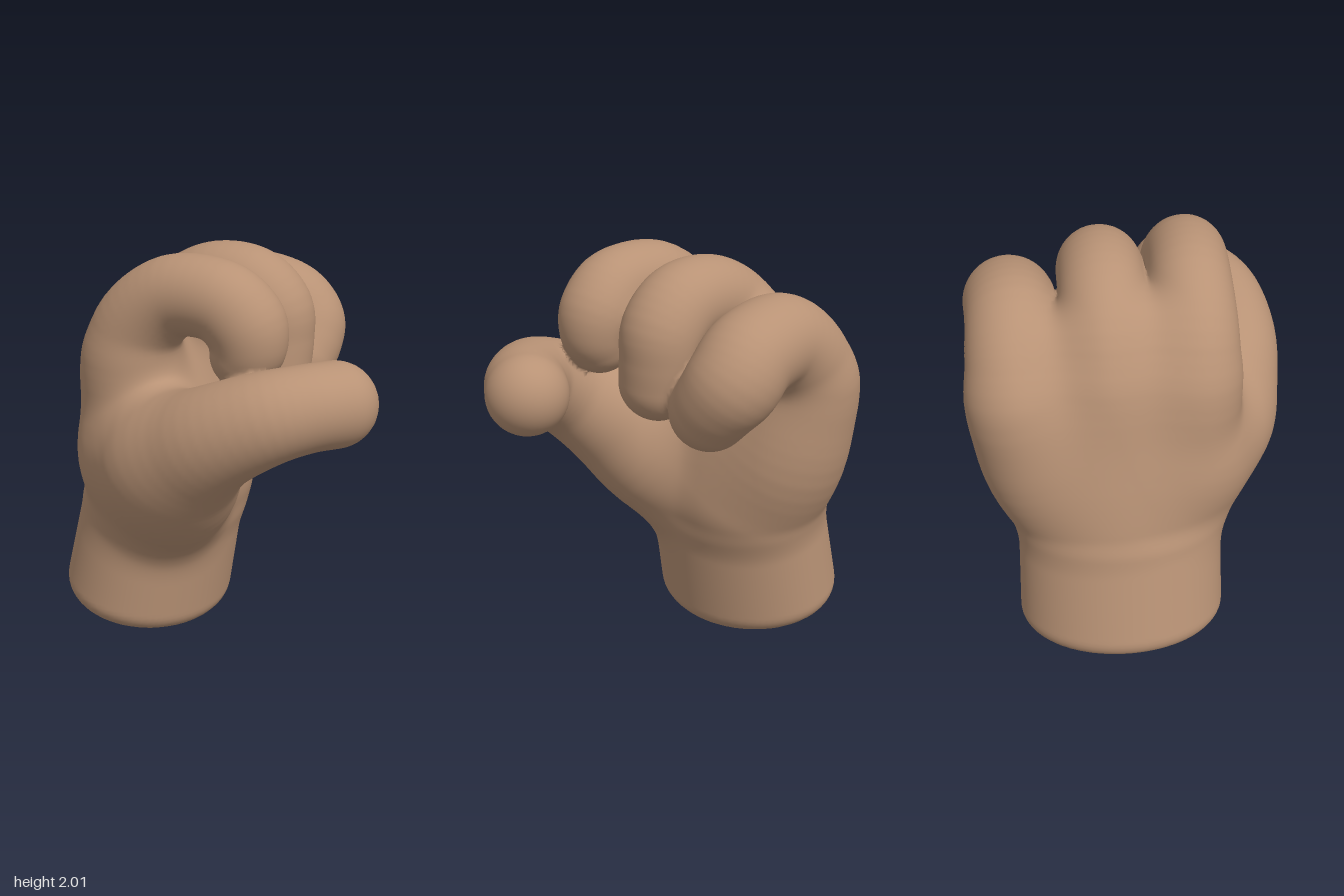
import * as THREE from 'three';

// Each limb is one or more chains of joints: x, y, z, radius
const LIMBS = {
  // The thumb, and the web of flesh that joins it to the index side of the palm
  thumb: [
    [[-0.3, 0.68, 0.12, 0.3], [-0.15, 0.86, 0.28, 0.33], [-0.02, 1.045, 0.42, 0.31],
      [0.2, 1.215, 0.53, 0.25], [0.44, 1.34, 0.52, 0.215], [0.6, 1.385, 0.42, 0.2], [0.7, 1.385, 0.29, 0.2]],
    [[-0.32, 0.98, 0.26, 0.29], [-0.14, 1.03, 0.39, 0.27]],
  ],
  indexFinger: [[[-0.36, 1.15, 0.2, 0.25], [-0.375, 1.42, 0.25, 0.24], [-0.31, 1.64, 0.27, 0.215],
    [-0.12, 1.795, 0.28, 0.195], [0.12, 1.8, 0.29, 0.192], [0.24, 1.71, 0.28, 0.195], [0.27, 1.62, 0.28, 0.18],
    [0.25, 1.56, 0.28, 0.165]]],
  middleFinger: [[[-0.37, 1.15, -0.12, 0.25], [-0.375, 1.42, -0.12, 0.24], [-0.3, 1.64, -0.12, 0.22],
    [-0.12, 1.775, -0.12, 0.205], [0.08, 1.78, -0.12, 0.203], [0.2, 1.68, -0.12, 0.203], [0.22, 1.55, -0.115, 0.195],
    [0.22, 1.43, -0.1, 0.19]]],
  littleFinger: [[[-0.36, 1.12, -0.45, 0.26], [-0.37, 1.36, -0.52, 0.245], [-0.29, 1.53, -0.53, 0.235],
    [-0.13, 1.645, -0.535, 0.223], [0.08, 1.62, -0.55, 0.22], [0.18, 1.53, -0.55, 0.22], [0.21, 1.45, -0.5, 0.205],
    [0.21, 1.365, -0.43, 0.193]]],
  // The palm is three broad bones fanning out from the wrist
  palm: [
    [[-0.34, 0.75, 0.05, 0.33], [-0.34, 1.05, 0.18, 0.31], [-0.36, 1.3, 0.23, 0.26], [-0.37, 1.45, 0.25, 0.23]],
    [[-0.375, 0.74, -0.08, 0.345], [-0.365, 1.0, -0.1, 0.33], [-0.37, 1.25, -0.12, 0.28], [-0.37, 1.45, -0.12, 0.23]],
    [[-0.34, 0.74, -0.24, 0.345], [-0.345, 1.0, -0.39, 0.325], [-0.36, 1.25, -0.48, 0.275], [-0.37, 1.38, -0.52, 0.24]],
  ],
};

// Smooth union of two distances, with a fillet of width k
function blend(a, b, k) {
  const h = Math.max(0, 1 - Math.abs(a - b) / k);
  return Math.min(a, b) - h * h * k / 4;
}

// Distance to a ball of varying radius swept along a curve through the joints
function tube(joints) {
  const spline = points => new THREE.CatmullRomCurve3(points, false, 'catmullrom');
  const path = spline(joints.map(j => new THREE.Vector3(j[0], j[1], j[2])));
  const radius = spline(joints.map(j => new THREE.Vector3(j[3], 0, 0)));
  const steps = (joints.length - 1) * 5, nodes = [];
  for (let i = 0; i <= steps; i++) nodes.push([...path.getPoint(i / steps), radius.getPoint(i / steps).x]);
  const segments = nodes.slice(1).map((b, i) => {
    const a = nodes[i], d = b.map((v, n) => v - a[n]);
    const len2 = d[0] * d[0] + d[1] * d[1] + d[2] * d[2];
    const slope = THREE.MathUtils.clamp(d[3] / Math.sqrt(len2), -0.9, 0.9);
    return { a, d, len2, lean: slope / Math.sqrt((1 - slope * slope) * len2) };
  });
  return (x, y, z) => {
    let best = Infinity;
    for (const { a, d, len2, lean } of segments) {
      const px = x - a[0], py = y - a[1], pz = z - a[2];
      const along = (px * d[0] + py * d[1] + pz * d[2]) / len2;
      const away = Math.sqrt(Math.max(0, px * px + py * py + pz * pz - along * along * len2));
      const t = Math.min(1, Math.max(0, along + away * lean));
      const ex = px - t * d[0], ey = py - t * d[1], ez = pz - t * d[2];
      best = Math.min(best, Math.sqrt(ex * ex + ey * ey + ez * ez) - a[3] - t * d[3]);
    }
    return best;
  };
}

// Distance to the wrist: a tilted oval cylinder, slightly flared, with a rounded rim
function wrist(x, y, z) {
  const px = x + 0.495, py = y - 0.068, pz = z + 0.07;
  const up = 0.2 * px + 0.98 * py, side = 0.98 * px - 0.2 * py;
  const a = 0.418 - 0.045 * up, b = 0.51 - 0.03 * up, height = 0.66, rim = 0.1;
  const q = Math.hypot(side / a, pz / b);
  const radial = q < 0.01 ? -a : (q - 1) * q / Math.hypot(side / (a * a), pz / (b * b));
  const dx = radial + rim, dy = Math.abs(up - height / 2) - height / 2 + rim;
  return Math.min(Math.max(dx, dy), 0) + Math.hypot(Math.max(dx, 0), Math.max(dy, 0)) - rim;
}

const parts = { wrist };
for (const [name, chains] of Object.entries(LIMBS)) {
  const tubes = chains.map(tube);
  parts[name] = (x, y, z) => tubes.map(t => t(x, y, z)).reduce((a, b) => blend(a, b, 0.18));
}

// Whole hand: soft fillets at the palm, finger creases that fade out over the knuckles
function hand(x, y, z) {
  const base = blend(parts.palm(x, y, z), wrist(x, y, z), 0.06);
  const crease = 0.02 + 0.2 * THREE.MathUtils.smoothstep(-x, 0.08, 0.42);
  const fingers = blend(blend(parts.indexFinger(x, y, z), parts.middleFinger(x, y, z), crease),
    parts.littleFinger(x, y, z), crease);
  return blend(blend(base, fingers, 0.06), blend(base, parts.thumb(x, y, z), 0.14), 0.02);
}

// Skin the distance field on a regular grid, with one list of faces per part
function skin() {
  const step = 0.022, min = [-0.99, -0.07, -0.88], size = [91, 99, 81];
  const stride = [1, size[0], size[0] * size[1]];
  const values = new Float32Array(size[0] * size[1] * size[2]);
  const eachNode = (start, trim, visit) => {
    for (let k = start; k < size[2] - trim; k++)
      for (let j = start; j < size[1] - trim; j++)
        for (let i = start; i < size[0] - trim; i++) visit([i, j, k], i + j * stride[1] + k * stride[2]);
  };
  eachNode(0, 0, (c, n) => { values[n] = hand(...c.map((v, a) => min[a] + v * step)); });

  // One vertex per crossed cell, at the mean of its edge crossings
  const positions = [], normals = [], vertexOf = new Int32Array(values.length).fill(-1);
  eachNode(0, 1, (c, n) => {
    const sum = [0, 0, 0];
    let hits = 0;
    for (let corner = 0; corner < 8; corner++) {
      const bits = [corner & 1, (corner >> 1) & 1, corner >> 2];
      const from = n + bits[0] + bits[1] * stride[1] + bits[2] * stride[2];
      for (let a = 0; a < 3; a++) {
        if (bits[a]) continue;
        const v0 = values[from], v1 = values[from + stride[a]];
        if ((v0 < 0) === (v1 < 0)) continue;
        for (let b = 0; b < 3; b++) sum[b] += bits[b] + (a === b ? v0 / (v0 - v1) : 0);
        hits++;
      }
    }
    if (!hits) return;
    const [x, y, z] = sum.map((s, a) => min[a] + (c[a] + s / hits) * step);
    const e = 0.018;
    const normal = new THREE.Vector3(hand(x + e, y, z) - hand(x - e, y, z),
      hand(x, y + e, z) - hand(x, y - e, z), hand(x, y, z + e) - hand(x, y, z - e)).normalize();
    vertexOf[n] = positions.length / 3;
    positions.push(x, y, z);
    normals.push(normal.x, normal.y, normal.z);
  });

  // One quad around every crossed grid edge, given to the nearest part
  const faces = Object.fromEntries(Object.keys(parts).map(name => [name, []]));
  eachNode(1, 1, (c, n) => {
    for (let a = 0; a < 3; a++) {
      const inside = values[n] < 0;
      if (inside === (values[n + stride[a]] < 0)) continue;
      const b = stride[(a + 1) % 3], d = stride[(a + 2) % 3];
      const q = [n - b - d, n - d, n, n - b].map(cell => vertexOf[cell]);
      if (!inside) q.reverse();
      const p = positions.slice(q[0] * 3, q[0] * 3 + 3);
      let nearest = 'palm', best = Infinity;
      for (const name in parts) {
        const distance = parts[name](...p);
        if (distance < best) { best = distance; nearest = name; }
      }
      faces[nearest].push(q[0], q[1], q[2], q[0], q[2], q[3]);
    }
  });
  return { positions, normals, faces };
}

export function createModel() {
  const group = new THREE.Group();
  group.name = 'hand';
  const skinMaterial = new THREE.MeshStandardMaterial({ color: 0xb89275 });
  skinMaterial.name = 'skin';
  const { positions, normals, faces } = skin();
  const position = new THREE.Float32BufferAttribute(positions, 3);
  const normal = new THREE.Float32BufferAttribute(normals, 3);
  for (const [name, index] of Object.entries(faces)) {
    const geometry = new THREE.BufferGeometry();
    geometry.setAttribute('position', position);
    geometry.setAttribute('normal', normal);
    geometry.setIndex(index);
    const mesh = new THREE.Mesh(geometry, skinMaterial);
    mesh.name = name;
    group.add(mesh);
  }
  return group;
}
